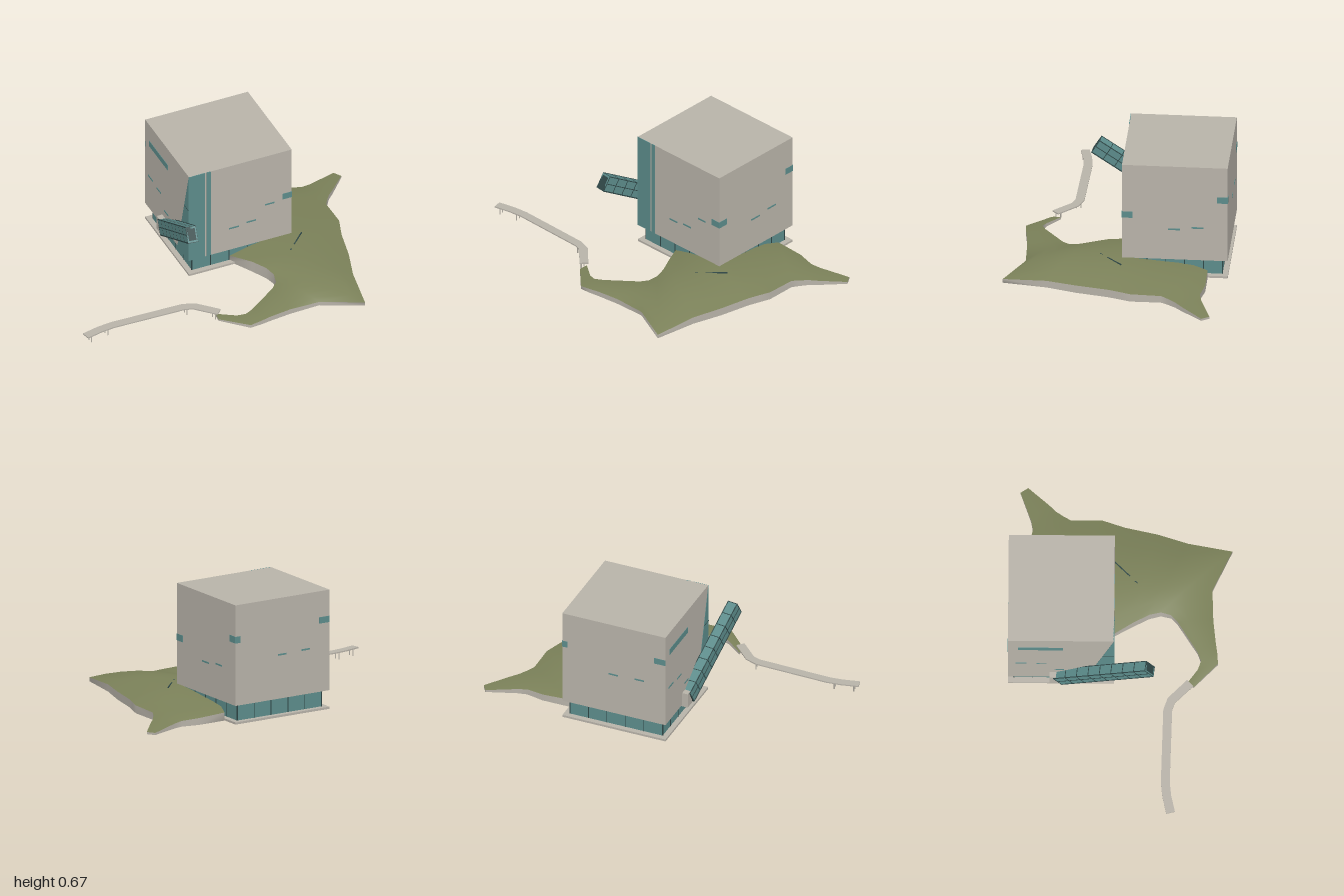
import * as THREE from 'three';

const mat = (color, side = THREE.FrontSide) => new THREE.MeshStandardMaterial({ color, side, roughness: 0.9 });
const wall = mat(0xb8b3a9);
const glass = mat(0x5c8c8b);
const darkFrame = mat(0x2f4747);
const paving = mat(0xb8b3a9, THREE.DoubleSide);
const grass = mat(0x7b8159, THREE.DoubleSide);

function add(parent, name, geometry, material, x = 0, y = 0, z = 0) {
  const mesh = new THREE.Mesh(geometry, material);
  mesh.name = name;
  mesh.position.set(x, y, z);
  parent.add(mesh);
  return mesh;
}
const box = (parent, name, material, w, h, d, x, y, z) =>
  add(parent, name, new THREE.BoxGeometry(w, h, d), material, x, y, z);

// Grid surface through rows of [x, y, z] points
function loft(rows) {
  const n = rows[0].length, index = [];
  for (let i = 0; i < rows.length - 1; i++) {
    for (let j = 0; j < n - 1; j++) {
      const a = i * n + j, c = a + n;
      index.push(a, a + 1, c, a + 1, c + 1, c);
    }
  }
  const g = new THREE.BufferGeometry();
  g.setAttribute('position', new THREE.Float32BufferAttribute(rows.flat(2), 3));
  g.setIndex(index);
  g.computeVertexNormals();
  return g;
}

// Block outline: W along the front, D along the sides
const W = 0.571, D = 0.607, Y0 = 0.105, Y1 = 0.665;

function createBuilding() {
  const g = new THREE.Group();
  g.name = 'building';
  g.position.set(-0.305, 0, -0.22);
  g.rotation.y = -0.574;
  box(g, 'upperBlock', wall, W, Y1 - Y0, D, 0, (Y0 + Y1) / 2, 0);
  box(g, 'floorSlab', wall, W, 0.012, D, 0, 0.007, 0);
  box(g, 'glazedBase', glass, W - 0.06, Y0, D - 0.06, 0, Y0 / 2, 0);

  // Windows per face: [start fraction, end fraction, bottom, top], left to right
  const windows = [
    [[0.094, 0.52, 0.525, 0.56], [0.07, 0.177, 0.315, 0.325], [0.27, 0.365, 0.306, 0.315], [0.44, 0.53, 0.22, 0.229]],
    [[0, 0.155, Y0, Y1], [0.172, 0.21, Y0, Y1], [0.39, 0.485, 0.243, 0.252], [0.56, 0.65, 0.254, 0.263],
      [0.74, 0.83, 0.338, 0.347], [0.91, 1, 0.347, 0.384]],
    [[0, 0.1, 0.347, 0.384], [0.435, 0.55, 0.282, 0.291], [0.66, 0.77, 0.295, 0.304], [0.9, 1, 0.453, 0.49]],
    [[0, 0.05, 0.453, 0.49], [0.45, 0.54, 0.345, 0.354], [0.7, 0.79, 0.35, 0.359], [0.89, 1, 0.485, 0.52]],
  ];
  windows.forEach((list, k) => {
    const face = new THREE.Group();
    face.name = 'facade';
    face.rotation.y = k * Math.PI / 2;
    g.add(face);
    const span = k % 2 ? D : W, out = (k % 2 ? W : D) / 2;
    for (const [a, b, lo, hi] of list) {
      box(face, 'window', glass, (b - a) * span, hi - lo, 0.004, ((a + b) / 2 - 0.5) * span, (lo + hi) / 2, out);
    }
    // Base mullions
    for (let i = 0; i <= 5; i++) {
      box(face, 'baseMullion', darkFrame, 0.004, Y0 - 0.012, 0.004,
        (i / 5 - 0.5) * (span - 0.064), (Y0 + 0.012) / 2, out - 0.03);
    }
  });

  // Slanted glazing beside the front corner
  const slope = new THREE.Shape([[W / 2, Y1], [0.137, Y0], [W / 2, Y0]].map(p => new THREE.Vector2(...p)));
  add(g, 'slantedGlazing', new THREE.ExtrudeGeometry(slope, { depth: 0.002, bevelEnabled: false }), glass, 0, 0, D / 2);
  for (const y of [0.22, 0.44]) {
    const left = 0.137 + (W / 2 - 0.137) * (y - Y0) / (Y1 - Y0);
    box(g, 'glazingRail', darkFrame, W / 2 - left, 0.003, 0.003, (W / 2 + left) / 2, y, D / 2 + 0.002);
  }

  // Porch where the stair tube meets the wall
  box(g, 'stairPorch', wall, 0.055, 0.085, 0.05, -0.035, 0.137, D / 2 + 0.008);
  return g;
}

function createStairTube() {
  const g = new THREE.Group();
  g.name = 'stairTube';
  const start = new THREE.Vector3(-0.49, 0.135, 0.035), end = new THREE.Vector3(-0.106, 0.435, 0.355);
  const L = start.distanceTo(end), H = 0.085, B = 0.055;
  const along = end.clone().sub(start).normalize();
  const side = along.clone().cross(new THREE.Vector3(0, 1, 0)).normalize();
  g.quaternion.setFromRotationMatrix(new THREE.Matrix4().makeBasis(along, side.clone().cross(along), side));
  g.position.copy(start).lerp(end, 0.5);
  box(g, 'tubeGlass', glass, L, H, B, 0, 0, 0);
  box(g, 'tubeFloor', darkFrame, L, 0.006, B + 0.004, 0, -H / 2, 0);
  box(g, 'endWindow', darkFrame, 0.003, H - 0.02, B - 0.014, L / 2, 0, 0);
  for (const s of [-1, 1]) {
    for (const y of [0, H / 2]) box(g, 'tubeRail', darkFrame, L, 0.004, 0.004, 0, y, s * B / 2);
  }
  for (let i = 0; i <= 8; i++) {
    box(g, 'tubeRib', darkFrame, 0.004, H + 0.003, B + 0.003, (i / 8 - 0.5) * (L - 0.004), 0, 0);
  }
  return g;
}

function createLawn() {
  const g = new THREE.Group();
  g.name = 'lawn';
  // Stations: inner x, z, height; ridge height; outer x, z, height
  const stations = [
    [0.08, 0.41, 0.012, 0.012, 0.12, 0.44, 0.01],
    [0.19, 0.37, 0.02, 0.022, 0.30, 0.40, 0.018],
    [0.23, 0.34, 0.028, 0.028, 0.33, 0.345, 0.024],
    [0.24, 0.29, 0.033, 0.034, 0.355, 0.29, 0.028],
    [0.24, 0.09, 0.047, 0.048, 0.41, 0.18, 0.03],
    [0.23, 0.04, 0.054, 0.058, 0.50, 0.03, 0.022],
    [0.19, 0.0, 0.063, 0.074, 0.71, -0.10, 0.022],
    [0.13, -0.02, 0.069, 0.088, 0.53, -0.26, 0.04],
    [0.03, -0.03, 0.066, 0.094, 0.42, -0.39, 0.044],
    [-0.12, -0.04, 0.04, 0.092, 0.29, -0.52, 0.045],
    [-0.10, -0.20, 0.072, 0.088, 0.25, -0.57, 0.045],
    [-0.20, -0.45, 0.068, 0.07, 0.21, -0.62, 0.044],
    [-0.29, -0.57, 0.045, 0.058, 0.07, -0.71, 0.04],
    [-0.20, -0.71, 0.038, 0.045, 0.05, -0.75, 0.036],
    [-0.13, -0.78, 0.032, 0.036, 0.03, -0.80, 0.031],
    [-0.11, -0.83, 0.027, 0.029, 0.02, -0.85, 0.026],
    [-0.07, -1.0, 0.012, 0.012, -0.02, -1.0, 0.012],
  ];
  const N = 6;
  const rows = stations.map(([ax, az, ay, my, bx, bz, by]) => Array.from({ length: N + 1 }, (_, j) => {
    const t = j / N;
    const y = ay * (1 - t) * (1 - 2 * t) + my * 4 * t * (1 - t) + by * t * (2 * t - 1);
    return [ax + (bx - ax) * t, y, az + (bz - az) * t];
  }));
  add(g, 'lawnSurface', loft(rows), grass);
  // Retaining wall round the edge
  const edges = [rows.map(r => r[0]), rows.map(r => r[N]), rows[0], rows[rows.length - 1]];
  for (const edge of edges) add(g, 'retainingWall', loft(edge.map(([x, y, z]) => [[x, 0, z], [x, y, z]])), paving);
  // Narrow slit along the ridge
  const slit = box(g, 'ridgeSlit', darkFrame, 0.006, 0.012, 0.225, 0.155, 0.086, -0.26);
  slit.rotation.y = 0.22;
  return g;
}

function createFootbridge() {
  const g = new THREE.Group();
  g.name = 'footbridge';
  const path = [[0.11, 0.42], [-0.03, 0.45], [-0.075, 0.485], [-0.31, 0.83], [-0.345, 0.9], [-0.378, 0.99]]
    .map(p => new THREE.Vector2(...p));
  // Offset the path both ways to get the deck outline
  const offset = s => path.map((p, i) => {
    const d = path[Math.min(i + 1, path.length - 1)].clone().sub(path[Math.max(i - 1, 0)]).normalize();
    return new THREE.Vector2(p.x - d.y * s, -(p.y + d.x * s));
  });
  const shape = new THREE.Shape([...offset(0.024), ...offset(-0.024).reverse()]);
  const deck = new THREE.ExtrudeGeometry(shape, { depth: 0.007, bevelEnabled: false }).rotateX(-Math.PI / 2);
  add(g, 'deck', deck, paving, 0, 0.039, 0);
  for (const [x, z] of [[-0.365, 0.965], [-0.325, 0.865], [-0.065, 0.48], [0.085, 0.432]]) {
    for (const s of [-1, 1]) {
      add(g, 'post', new THREE.CylinderGeometry(0.003, 0.003, 0.04, 8), wall, x + s * 0.012, 0.02, z + s * 0.005);
    }
  }
  return g;
}

export function createModel() {
  const model = new THREE.Group();
  model.name = 'cubeBuildingWithLawn';
  model.add(createBuilding(), createStairTube(), createLawn(), createFootbridge());
  return model;
}
